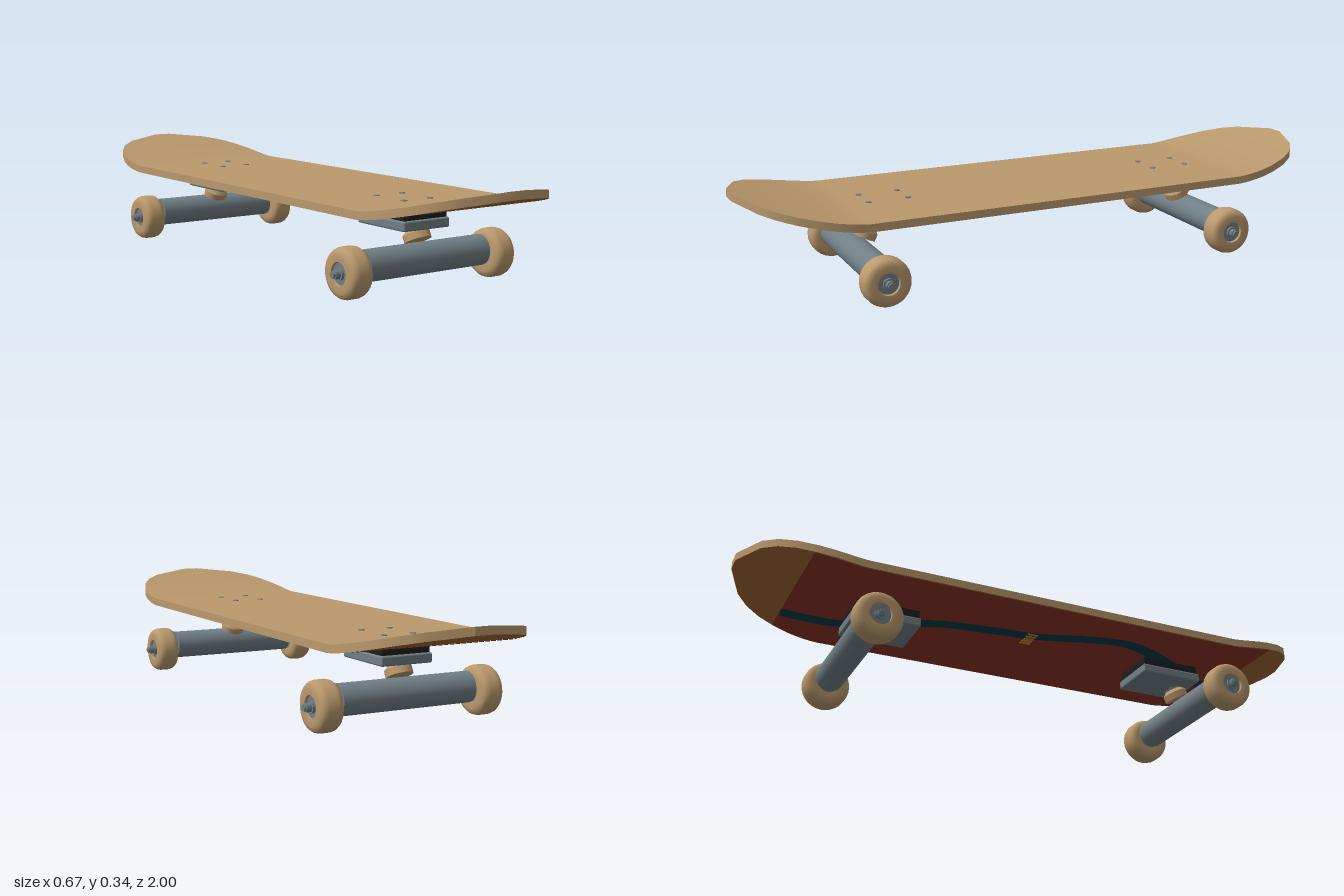
import * as THREE from 'three';
import { RoundedBoxGeometry } from 'three/addons/geometries/RoundedBoxGeometry.js';

const mat = (name, color) => {
  const m = new THREE.MeshStandardMaterial({ color });
  m.name = name;
  return m;
};

// Half outline of the deck as [z, half width]
const OUTLINE = [[0, 0.283], [0.7, 0.283], [0.75, 0.279], [0.8, 0.268], [0.86, 0.245], [0.91, 0.21], [0.95, 0.16], [1, 0.03]];

// Piecewise linear lookup in a sorted table
function lookup(table, t) {
  for (let i = 1; i < table.length; i++) {
    const [a, va] = table[i - 1], [b, vb] = table[i];
    if (t <= b) return va + (vb - va) * (t - a) / (b - a);
  }
  return table[table.length - 1][1];
}
const halfWidth = z => lookup(OUTLINE, Math.abs(z));
const lift = z => 0.074 * Math.pow(Math.max(0, Math.abs(z) - 0.65) / 0.35, 1.36);
const topY = z => 0.261 + lift(z);
const bottomY = z => 0.236 + lift(z);

// Stations along the deck, denser in the curved ends
function stations(limit) {
  const half = [0.65, 0.675, 0.7, 0.73, 0.75, 0.775, 0.8, 0.83, 0.86, 0.885, 0.91, 0.93, 0.95, 0.975, 1].filter(z => z < limit);
  half.push(limit);
  return [...half.map(z => -z).reverse(), -0.3, 0, 0.3, ...half];
}

// Grid surface through rows of points
function loft(rows, flip = false) {
  const n = rows[0].length, index = [];
  for (let i = 0; i < rows.length - 1; i++) {
    for (let j = 0; j < n - 1; j++) {
      const a = i * n + j, b = a + 1, c = a + n, d = c + 1;
      index.push(...(flip ? [a, b, c, b, d, c] : [a, c, b, b, c, d]));
    }
  }
  const g = new THREE.BufferGeometry();
  g.setAttribute('position', new THREE.Float32BufferAttribute(rows.flat(2), 3));
  g.setIndex(index);
  g.computeVertexNormals();
  return g;
}

// Sheet that follows the bend of the deck, spanning a half width
function sheet(zs, half, y, faceDown) {
  const rows = zs.map(z => Array.from({ length: 7 }, (_, j) => [half(z) * (j / 3 - 1), y(z), z]));
  return loft(rows, faceDown);
}

export function createModel() {
  const wood = mat('pale wood', 0xba996d);
  const brown = mat('dark wood', 0xa0642f);
  const red = mat('dark red', 0x8b3324);
  const teal = mat('dark teal', 0x003b46);
  const gold = mat('gold', 0xb8792a);
  const steel = mat('grey steel', 0x717f86);
  const black = mat('black rubber', 0x1d1e1f);

  const model = new THREE.Group();
  model.name = 'skateboard';
  const add = (parent, name, geometry, material, x = 0, y = 0, z = 0) => {
    const m = new THREE.Mesh(geometry, material);
    m.name = name;
    m.position.set(x, y, z);
    parent.add(m);
    return m;
  };

  // Deck
  const deck = new THREE.Group();
  deck.name = 'deck';
  model.add(deck);
  const zs = stations(1);
  add(deck, 'deckTop', sheet(zs, halfWidth, topY, false), wood);
  add(deck, 'deckUnderside', sheet(zs, halfWidth, bottomY, true), brown);
  const rim = [
    ...zs.map(z => [halfWidth(z), z]),
    ...[...zs].reverse().map(z => [-halfWidth(z), z]),
  ];
  rim.push(rim[0]);
  add(deck, 'deckEdge', loft(rim.map(([x, z]) => [[x, bottomY(z), z], [x, topY(z), z]]), true), wood);

  // Painted underside: red field with a winding stripe
  add(deck, 'redPanel', sheet(stations(0.81), z => halfWidth(z) - 0.004, z => bottomY(z) - 0.0015, true), red);
  const path = new THREE.CatmullRomCurve3([
    [0.155, -0.81], [0.12, -0.68], [0.08, -0.53], [-0.02, -0.34], [-0.055, -0.13], [-0.07, 0], [-0.13, 0.2],
    [-0.145, 0.32], [-0.1, 0.45], [-0.02, 0.6], [0.045, 0.7], [0.088, 0.81],
  ].map(([x, z]) => new THREE.Vector3(x, 0, z)));
  const stripeRows = path.getPoints(60).map((p, i) => {
    const t = path.getTangent(i / 60), w = 0.025;
    return [-1, 0, 1].map(s => {
      const z = THREE.MathUtils.clamp(p.z - s * w * t.x, -0.81, 0.81);
      return [p.x + s * w * t.z, bottomY(z) - 0.003, z];
    });
  });
  add(deck, 'stripe', loft(stripeRows, true), teal);

  // Row of small gold dashes at the middle of the underside
  for (let i = -2; i <= 2; i++) {
    add(deck, 'goldDash', new THREE.BoxGeometry(0.009, 0.004, 0.035), gold, -0.045 + i * 0.017, 0.233, -0.01);
  }

  // Deck bolts
  for (const x of [-0.05, 0.05]) {
    for (const z of [-0.58, -0.45, 0.45, 0.58]) {
      add(deck, 'bolt', new THREE.CylinderGeometry(0.01, 0.01, 0.004, 12), steel, x, 0.2612, z);
    }
  }

  // Wheel profile revolved about the axle, as [radius, offset]
  const wheelGeo = new THREE.LatheGeometry([
    [0.012, -0.024], [0.034, -0.024], [0.034, -0.024], [0.035, -0.037], [0.035, -0.037], [0.055, -0.038], [0.068, -0.034],
    [0.074, -0.026], [0.077, -0.015], [0.077, 0.015], [0.074, 0.026], [0.068, 0.034], [0.055, 0.038],
    [0.035, 0.037], [0.035, 0.037], [0.034, 0.024], [0.034, 0.024], [0.012, 0.024],
  ].map(p => new THREE.Vector2(...p)), 32).rotateZ(-Math.PI / 2);
  const rod = (r, length, sides = 24) => new THREE.CylinderGeometry(r, r, length, sides).rotateZ(Math.PI / 2);

  // Trucks, one at each end and turned to face outward
  for (const end of [1, -1]) {
    const truck = new THREE.Group();
    truck.name = end > 0 ? 'frontTruck' : 'rearTruck';
    truck.rotation.y = end > 0 ? 0 : Math.PI;
    model.add(truck);
    add(truck, 'riserPad', new THREE.BoxGeometry(0.164, 0.03, 0.208), black, 0, 0.219, 0.516);
    add(truck, 'baseplate', new RoundedBoxGeometry(0.177, 0.031, 0.222, 2, 0.006), steel, 0, 0.192, 0.518);

    // Tilted kingpin with its bushing and washers
    const pivot = new THREE.Group();
    pivot.name = 'kingpinAssembly';
    pivot.position.set(0, 0.15, 0.582);
    pivot.rotation.x = -0.45;
    truck.add(pivot);
    add(pivot, 'bushing', new THREE.CylinderGeometry(0.028, 0.042, 0.014, 24), wood, 0, 0.016, 0);
    add(pivot, 'lowerBushing', new THREE.CylinderGeometry(0.042, 0.042, 0.022, 24), wood, 0, -0.002, 0);
    add(pivot, 'washer', new THREE.CylinderGeometry(0.03, 0.03, 0.006, 24), steel, 0, 0.025, 0);
    add(pivot, 'kingpin', new THREE.CylinderGeometry(0.012, 0.012, 0.04, 12), steel, 0, 0.02, 0);

    // Hanger, axle, wheels and nuts
    add(truck, 'hanger', rod(0.048, 0.456, 32), steel, 0, 0.09, 0.61);
    add(truck, 'axle', rod(0.01, 0.67, 16), steel, 0, 0.077, 0.61);
    for (const s of [-1, 1]) {
      add(truck, 'wheel', wheelGeo, wood, s * 0.275, 0.077, 0.61);
      add(truck, 'bearing', rod(0.0335, 0.058), steel, s * 0.275, 0.077, 0.61);
      add(truck, 'spacer', rod(0.018, 0.074), steel, s * 0.275, 0.077, 0.61);
      add(truck, 'axleNut', rod(0.014, 0.022, 6), steel, s * 0.317, 0.077, 0.61);
    }
  }
  return model;
}
